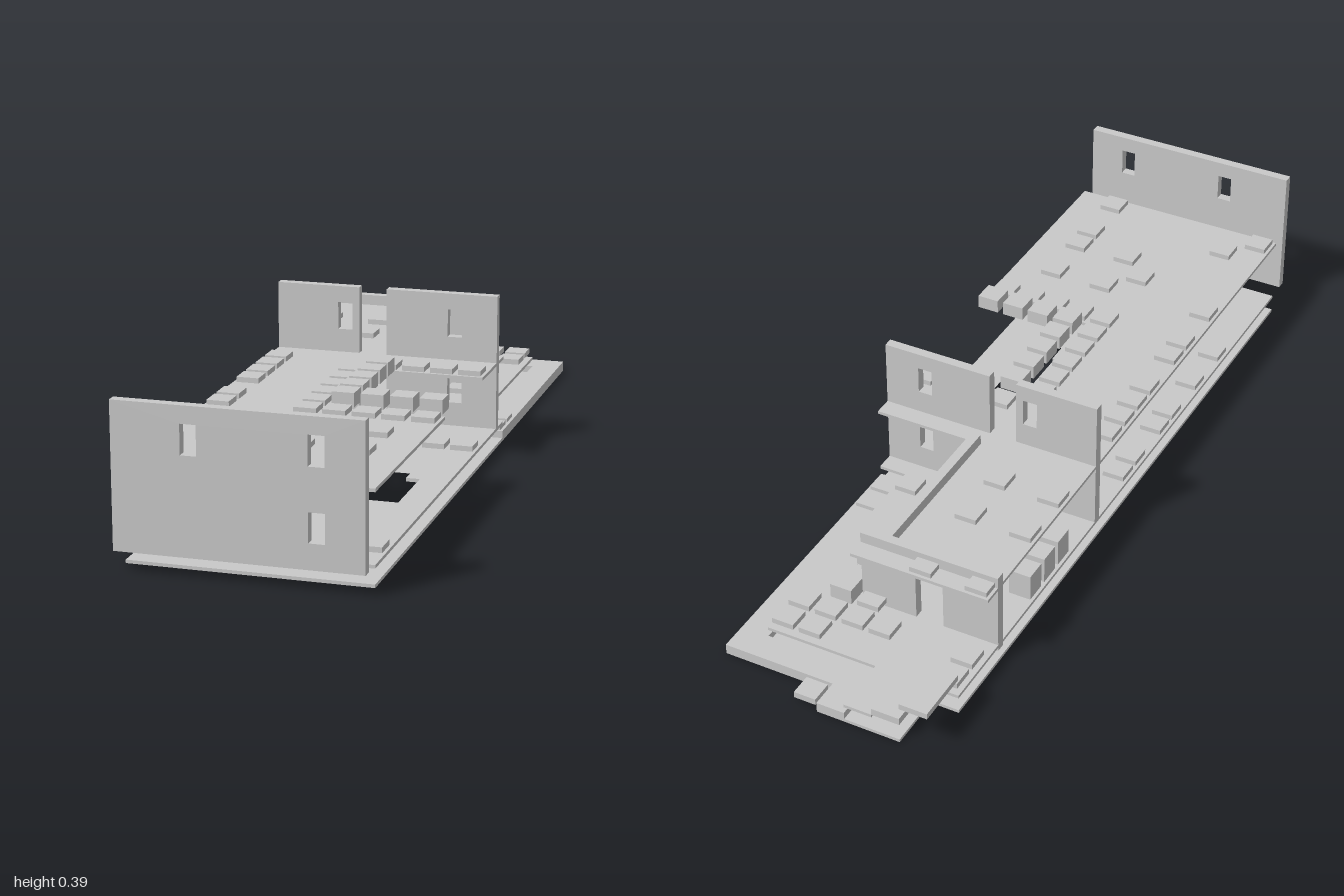
import * as THREE from 'three';

const C = 1 / 14; // plan grid cell: 8 columns (x) by 28 rows (z)
const X = (col) => (col - 4) * C;
const Z = (row) => (row - 14) * C;

export function createModel() {
  const model = new THREE.Group();
  const grey = new THREE.MeshStandardMaterial({ color: 0xc8c8c8 });
  grey.name = 'light grey';

  const add = (name, geometry, parent = model) => {
    const mesh = new THREE.Mesh(geometry, grey);
    mesh.name = name;
    parent.add(mesh);
    return mesh;
  };

  // box from its limits
  const box = (name, x0, x1, y0, y1, z0, z1, parent) =>
    add(name, new THREE.BoxGeometry(x1 - x0, y1 - y0, z1 - z0), parent)
      .position.set((x0 + x1) / 2, (y0 + y1) / 2, (z0 + z1) / 2);

  // flat floor cut from grid corners, with optional rectangular openings
  const slab = (name, corners, y0, y1, holes = []) => {
    const pts = (list) => list.map(([c, r]) => new THREE.Vector2(X(c), -Z(r)));
    const shape = new THREE.Shape(pts(corners));
    for (const [c0, r0, c1, r1] of holes) {
      shape.holes.push(new THREE.Path(pts([[c0, r0], [c1, r0], [c1, r1], [c0, r1]])));
    }
    const g = new THREE.ExtrudeGeometry(shape, { depth: y1 - y0, bevelEnabled: false });
    g.rotateX(-Math.PI / 2);
    add(name, g).position.y = y0;
  };

  // upright wall with window openings
  const windows = [[-0.127, -0.09, 0.282, 0.352], [0.159, 0.196, 0.282, 0.352], [0.159, 0.196, 0.112, 0.181]];
  const wall = (name, x0, x1, z0, z1) => {
    const rect = (a, b, c, d) => [[a, c], [b, c], [b, d], [a, d]].map((p) => new THREE.Vector2(...p));
    const shape = new THREE.Shape(rect(x0, x1, 0.052, 0.393));
    for (const w of windows) {
      if (w[0] > x0 && w[1] < x1) shape.holes.push(new THREE.Path(rect(...w)));
    }
    add(name, new THREE.ExtrudeGeometry(shape, { depth: z1 - z0, bevelEnabled: false })).position.z = z0;
  };

  // small blocks centred in grid cells; cells = { column: [rows] }
  const blocks = (name, cells, y0, y1, size = 0.056) => {
    const group = new THREE.Group();
    group.name = name;
    for (const [col, rows] of Object.entries(cells)) {
      for (const row of rows) {
        const x = X(+col + 0.5), z = Z(row + 0.5), h = size / 2;
        box(name + 'Block', x - h, x + h, y0, y1, z - h, z + h, group);
      }
    }
    model.add(group);
  };

  // floors
  slab('groundFloor', [[0, 2], [1, 2], [1, 0], [4, 0], [4, 1], [8, 1], [8, 27], [0, 27]], 0, 0.008,
    [[2, 16, 7, 21]]);
  slab('raisedWalkway', [[3, 0], [4, 0], [4, 1], [8, 1], [8, 11], [7, 11], [7, 2], [3, 2]], 0.008, 0.026);
  slab('middleFloor', [[0, 2], [2, 2], [2, 0], [3, 0], [3, 2], [7, 2], [7, 11], [8, 11], [8, 27], [0, 27]],
    0.044, 0.052, [[2, 16, 7, 21]]);
  slab('upperFloor', [[0, 4], [5, 4], [5, 5], [4, 5], [4, 11], [8, 11], [8, 14], [4, 14], [4, 19], [8, 19],
    [8, 27], [0, 27]], 0.215, 0.223);

  // cross walls
  wall('frontWall', X(0), X(8), 0.976, 1);
  wall('middleWallRight', X(0), X(3), -0.167, -0.143);
  wall('middleWallLeft', X(4), X(8), -0.167, -0.143);

  // back room walls with a doorway
  box('roomBackWall', X(0), X(2), 0.035, 0.25, -0.667, -0.643);
  box('roomBackWall', X(3), X(5), 0.035, 0.25, -0.667, -0.643);
  box('doorLintel', X(2), X(3), 0.2, 0.25, -0.667, -0.643);
  box('roomSideWall', 0, 0.024, 0.035, 0.25, -0.643, Z(11));

  // front stair treads between middle and upper floors
  for (let i = 0; i < 4; i++) {
    const y = 0.055 + i * 0.0415;
    box('frontStairTread', X(2 + i), X(3 + i), y, y + 0.018, Z(25), Z(27));
  }
  // back stair treads
  box('backStairTread', X(0), X(1), 0.1, 0.115, Z(0), Z(2));
  box('backStairTread', X(1), X(2), 0.052, 0.07, Z(0), Z(2));

  // loose blocks
  blocks('ground', { 2: [16, 17, 18, 19, 20], 3: [20], 4: [20], 5: [20], 6: [16, 20] }, 0.008, 0.017);
  blocks('walkwayEnd', { 4: [0] }, 0.01, 0.026);
  blocks('walkwaySide', { 7: [9, 10] }, 0.026, 0.036);
  blocks('middle', {
    0: [14, 15, 17, 18, 20, 22], 4: [6, 8, 15], 5: [5, 7, 14], 6: [10, 14], 7: [14, 25],
  }, 0.052, 0.065);
  blocks('backYard', { 0: [2, 3], 3: [3], 4: [3, 4], 5: [2, 3], 6: [2, 3] }, 0.064, 0.078);
  blocks('backYardTall', { 5: [4] }, 0.06, 0.1);
  blocks('backYardLarge', { 5: [6] }, 0.052, 0.1, C);
  blocks('roomTall', { 0: [7, 8, 9] }, 0.052, 0.12);
  blocks('upper', {
    0: [4, 7, 9, 13, 14, 15, 16, 18, 19, 21, 26], 1: [25], 2: [4, 7, 9],
    3: [14, 15, 16, 17, 18, 19, 22], 4: [13, 19, 21, 23], 5: [13, 19],
    6: [13, 19, 21, 23, 24, 26], 7: [13, 19],
  }, 0.223, 0.236);
  blocks('upperTall', { 4: [14, 15, 16, 17, 18], 5: [18], 6: [18], 7: [18] }, 0.225, 0.26);

  return model;
}
